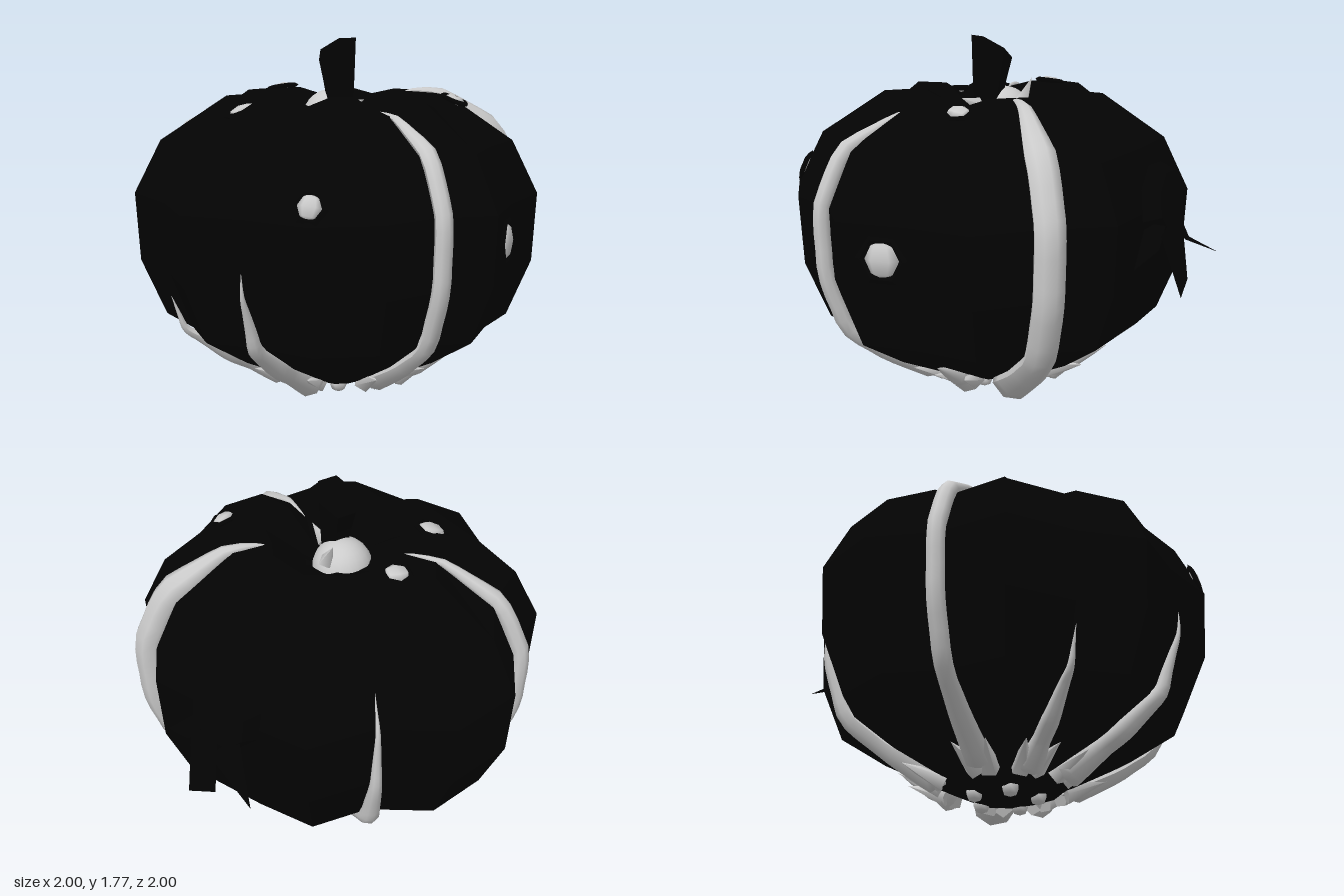
import * as THREE from 'three';

const dark = new THREE.MeshStandardMaterial({ color: 0x030303, flatShading: true, side: THREE.DoubleSide });
const grey = new THREE.MeshStandardMaterial({ color: 0xcccccc });
const UP = new THREE.Vector3(0, 1, 0);

// Outline seen from above: [azimuth in degrees from +z towards +x, radius, dip of the groove at the shoulder]
const OUTLINE = [[-150, .88, .04], [-129, .96, 0], [-109, .84, .04], [-88, 1, 0], [-67, 1.02, 0], [-48, .9, .03],
  [-29, 1.02, 0], [-9, .92, .08], [10, 1.015, 0], [28, .93, .05], [47, 1.01, 0], [67, .98, 0], [84, .9, .07],
  [99, 1.01, 0], [118, .91, .04], [138, .98, 0], [159, .88, 0], [178, .96, 0]];
// Side profile from bottom to top: [radius factor, height]
const PROFILE = [[0, .01], [.17, .05], [.35, .12], [.62, .25], [.86, .4], [.98, .68],
  [1, 1.02], [.87, 1.28], [.55, 1.495], [.34, 1.51], [.16, 1.4], [0, 1.32]];

const polar = (deg, r, y) => {
  const a = THREE.MathUtils.degToRad(deg);
  return new THREE.Vector3(Math.sin(a) * r, y, Math.cos(a) * r);
};

// Point on the skin along one outline column; t is a fractional profile row
function skinPoint([deg, R, dip], t, out = 0) {
  const i = Math.min(Math.floor(t), PROFILE.length - 2);
  const [a, b] = [i, i + 1].map(row => {
    const [f, y] = PROFILE[row];
    return polar(deg, R * f + out * Math.min(1, f * 1.5), row === 8 || row === 9 ? y - dip : y);
  });
  return a.lerp(b, t - i);
}

function add(parent, name, geometry, material) {
  const mesh = new THREE.Mesh(geometry, material);
  mesh.name = name;
  parent.add(mesh);
  return mesh;
}

// Ribbed gourd shell
function shellGeometry() {
  const pos = [], idx = [], n = OUTLINE.length, last = PROFILE.length - 2;
  for (let j = 0; j < PROFILE.length; j++)
    for (const column of OUTLINE) pos.push(...skinPoint(column, j).toArray());
  for (let j = 0; j <= last; j++)
    for (let i = 0; i < n; i++) {
      const a = j * n + i, b = j * n + (i + 1) % n;
      if (j > 0) idx.push(a, b, b + n);
      if (j < last) idx.push(a, b + n, a + n);
    }
  const g = new THREE.BufferGeometry();
  g.setAttribute('position', new THREE.Float32BufferAttribute(pos, 3));
  g.setIndex(idx);
  g.computeVertexNormals();
  return g;
}

// Root lying in a groove, thick at the bottom and tapering to a point at row tEnd
function rootGeometry(column, tEnd, width) {
  const pts = [], steps = Math.ceil((tEnd - 1.8) * 3), rows = 28, sides = 8;
  for (let i = 0; i <= steps; i++) pts.push(skinPoint(column, 1.8 + (tEnd - 1.8) * i / steps, .04));
  const curve = new THREE.CatmullRomCurve3(pts);
  const g = new THREE.TubeGeometry(curve, rows, 1, sides);
  const p = g.attributes.position, v = new THREE.Vector3();
  for (let i = 0; i <= rows; i++) {
    const u = i / rows, c = curve.getPointAt(u);
    const taper = Math.min(1, (1 - u) * (tEnd > 8 ? 4 : 1.6) + .02);
    const w = width * taper * (i === 0 ? .02 : 1 + .6 * Math.max(0, 1 - u * 4));
    for (let j = 0; j <= sides; j++) {
      const k = i * (sides + 1) + j;
      v.fromBufferAttribute(p, k).sub(c).multiplyScalar(w).add(c);
      p.setXYZ(k, v.x, v.y, v.z);
    }
  }
  g.computeVertexNormals();
  return g;
}

export function createModel() {
  const model = new THREE.Group();
  add(model, 'shell', shellGeometry(), dark);

  // Roots in the grooves: [azimuth of the groove, end row, half width]
  const roots = [[84, 9.1, .042], [-48, 9.1, .045], [159, 9.1, .075], [-109, 6.7, .05],
    [28, 5.3, .055], [-9, 4.6, .045], [118, 3.1, .05], [-150, 3.1, .05]];
  const rootGroup = new THREE.Group();
  rootGroup.name = 'roots';
  model.add(rootGroup);
  for (const [deg, tEnd, width] of roots) {
    const column = OUTLINE.find(c => c[0] === deg);
    add(rootGroup, 'root', rootGeometry(column, tEnd, width), grey);
    // Thorns spreading outwards on both sides of the root's foot
    for (const side of [-1, 1]) {
      const thorn = add(rootGroup, 'thorn', new THREE.ConeGeometry(.055, .22, 5), grey);
      thorn.position.copy(polar(deg + side * 8, .41, .14));
      thorn.quaternion.setFromUnitVectors(UP, polar(deg + side * 14, .9, .3).normalize());
    }
  }
  for (let i = 0; i < 5; i++) {
    const knob = add(rootGroup, 'knob', new THREE.SphereGeometry(.045, 6, 4), grey);
    knob.position.copy(polar(i * 72 - 20, .16, .055));
  }

  // Pale lumps set in dark angular sockets: [position, outward direction, size]
  const lumps = [[[.46, 1.485, -.35], [.3, 1, -.25], .055], [[-.41, 1.51, .08], [-.2, 1, .05], .06],
    [[-.1, 1.435, .5], [-.1, 1, .35], .07], [[.712, 1.1, .658], [.7, .35, .65], .06],
    [[.86, .86, -.33], [.8, 0, -.6], .09], [[-.82, .47, .2], [-.9, -.4, .2], .06]];
  for (const [position, direction, s] of lumps) {
    const lump = new THREE.Group();
    lump.name = 'lump';
    lump.position.set(...position);
    lump.quaternion.setFromUnitVectors(new THREE.Vector3(0, 0, 1), new THREE.Vector3(...direction).normalize());
    add(lump, 'core', new THREE.SphereGeometry(s, 6, 4), grey).scale.z = .4;
    add(lump, 'socket', new THREE.TorusGeometry(s * 1.15, s * .3, 4, 6), dark).scale.z = .7;
    model.add(lump);
  }

  // Pale ball in the hollow under the stem, with two small slivers
  add(model, 'stemBall', new THREE.SphereGeometry(.145, 20, 14), grey).position.set(-.06, 1.375, .01);
  for (const [x, y, z, tilt] of [[-.12, 1.51, -.1, .5], [.14, 1.46, 0, -1.2]]) {
    const sliver = add(model, 'sliver', new THREE.ConeGeometry(.04, .13, 4), grey);
    sliver.position.set(x, y, z);
    sliver.rotation.z = tilt;
  }

  // Stem: six-sided, flaring and slanted at the cut top
  const stem = new THREE.CylinderGeometry(.1, .055, .4, 6, 3);
  const sp = stem.attributes.position;
  for (let i = 0; i < sp.count; i++) {
    const u = sp.getY(i) / .4 + .5, x = sp.getX(i);
    sp.setXYZ(i, x + .045 - .04 * u, 1.32 + .4 * u + u * u * x * .65, sp.getZ(i) + .02);
  }
  stem.computeVertexNormals();
  add(model, 'stem', stem, dark);

  // Rear patch with three ragged hanging leaves
  const patch = add(model, 'rearPatch', new THREE.CylinderGeometry(.15, .19, .08, 8), dark);
  patch.position.set(-.38, 1.05, -.82);
  patch.quaternion.setFromUnitVectors(UP, new THREE.Vector3(-.42, .1, -.9).normalize());
  const leaves = [[[-.48, 1, -.8], [-.55, .85, -.82], [-.7, .76, -.87], [-.42, .88, -.92]],
    [[-.43, 1.03, -.88], [-.45, .68, -.92], [-.33, .63, -1], [-.26, .92, -.93]],
    [[-.34, 1, -.89], [-.24, .86, -.94], [-.07, .8, -.96], [-.2, .95, -.88]]];
  for (const corners of leaves) {
    const g = new THREE.BufferGeometry();
    g.setAttribute('position', new THREE.Float32BufferAttribute(corners.flat(), 3));
    g.setIndex([0, 1, 3, 1, 2, 3]);
    g.computeVertexNormals();
    add(model, 'rearLeaf', g, dark);
  }
  return model;
}
